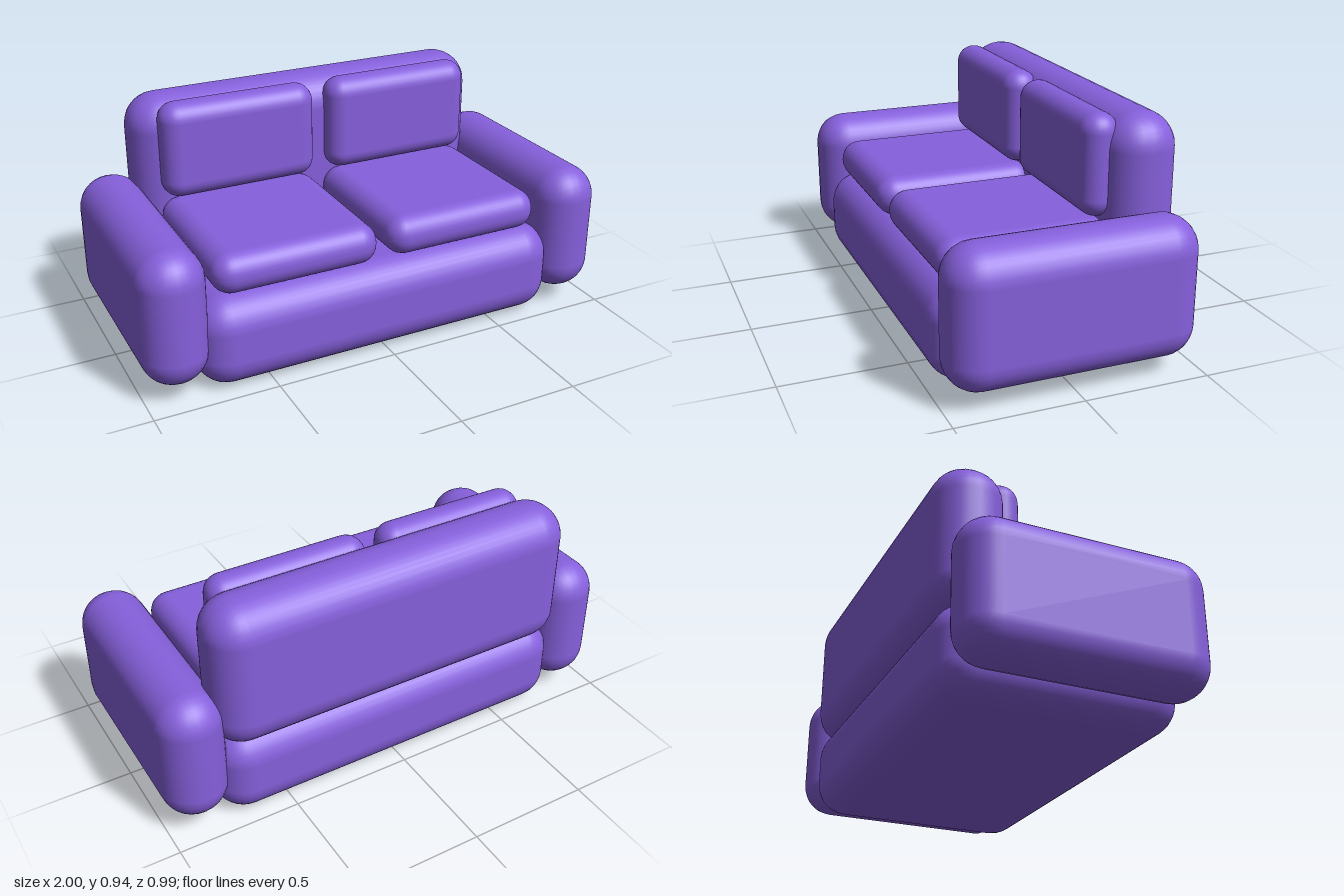
import * as THREE from 'three';
import { RoundedBoxGeometry } from 'three/addons/geometries/RoundedBoxGeometry.js';

export function createModel() {
  const sofa = new THREE.Group();
  sofa.name = 'sofa';
  const fabric = new THREE.MeshStandardMaterial({ color: 0x8660dc });
  fabric.name = 'purple fabric';

  // Padded block spanning the given [min, max] ranges
  function pad(name, [x0, x1], [y0, y1], [z0, z1], radius) {
    const geometry = new RoundedBoxGeometry(x1 - x0, y1 - y0, z1 - z0, 4, radius);
    const mesh = new THREE.Mesh(geometry, fabric);
    mesh.name = name;
    mesh.position.set((x0 + x1) / 2, (y0 + y1) / 2, (z0 + z1) / 2);
    sofa.add(mesh);
  }

  // Frame
  pad('base', [-0.785, 0.785], [0, 0.38], [-0.48, 0.48], 0.13);
  pad('backrest', [-0.787, 0.787], [0.33, 0.945], [-0.495, -0.212], 0.135);

  // Mirrored arms and cushions
  for (const [side, s] of [['left', 1], ['right', -1]]) {
    const span = (a, b) => (s > 0 ? [a, b] : [-b, -a]);
    pad(side + 'Arm', span(0.735, 1), [0.06, 0.612], [-0.485, 0.493], 0.13);
    pad(side + 'SeatCushion', span(0.023, 0.709), [0.376, 0.542], [-0.26, 0.435], 0.08);
    pad(side + 'BackCushion', span(0.033, 0.697), [0.545, 0.945], [-0.28, -0.13], 0.073);
  }
  return sofa;
}
